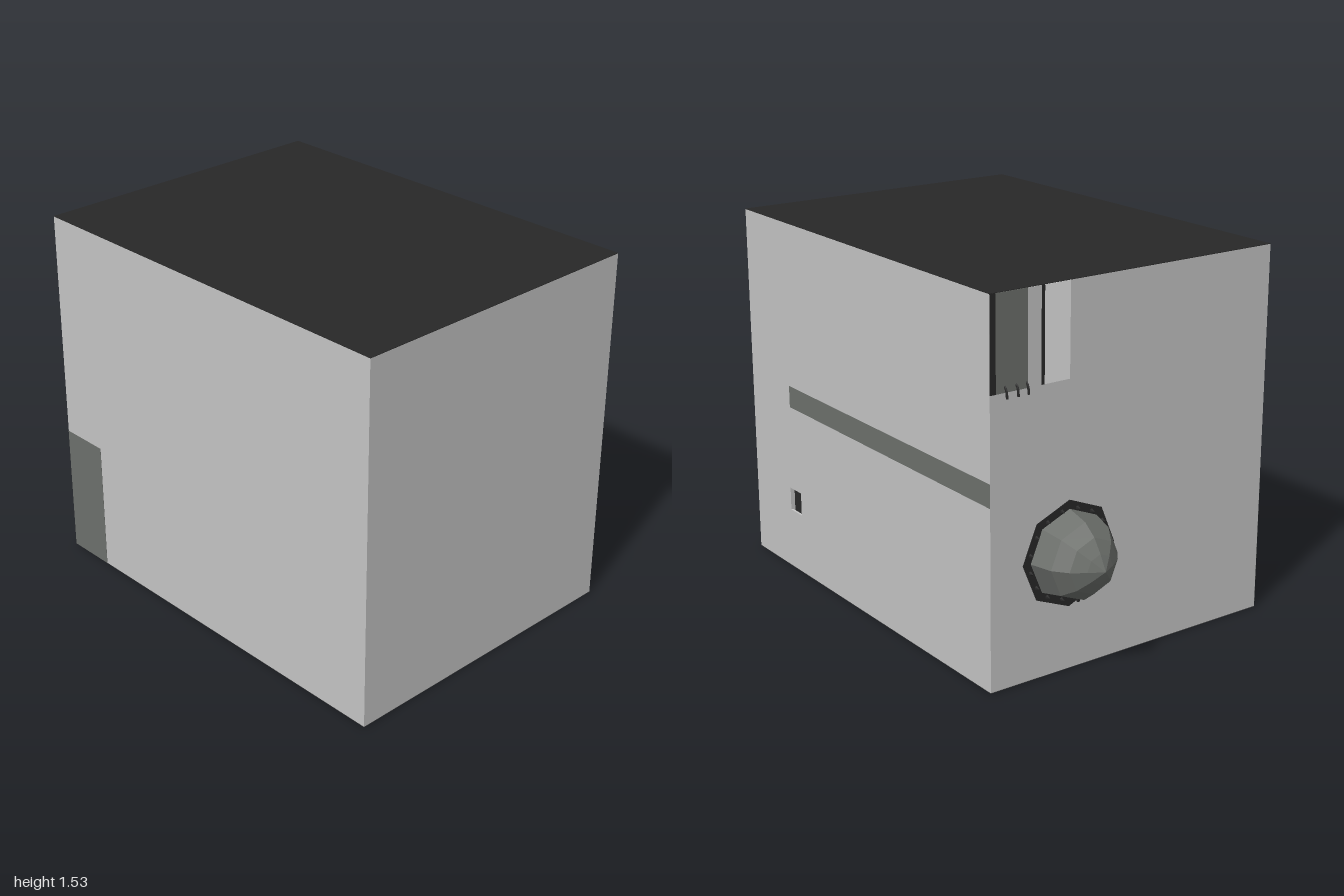
import * as THREE from 'three';

export function createModel() {
  const model = new THREE.Group();
  const material = (name, color) => {
    const m = new THREE.MeshStandardMaterial({ color, side: THREE.DoubleSide, flatShading: true });
    m.name = name;
    return m;
  };
  const wall = material('wall grey', 0xc4c4c4);
  const dark = material('roof charcoal', 0x282828);
  const base = material('floor grey', 0x575757);
  const metal = material('green grey', 0x6d706c);
  const pale = material('pale panel', 0xf4f4f4);

  const add = (name, geometry, mat, x = 0, y = 0, z = 0, parent = model) => {
    const mesh = new THREE.Mesh(geometry, mat);
    mesh.name = name;
    mesh.position.set(x, y, z);
    parent.add(mesh);
    return mesh;
  };
  // Box given by its minimum and maximum corners
  const block = (name, mat, [x0, y0, z0], [x1, y1, z1]) =>
    add(name, new THREE.BoxGeometry(x1 - x0, y1 - y0, z1 - z0), mat,
      (x0 + x1) / 2, (y0 + y1) / 2, (z0 + z1) / 2);

  const L = -0.78, R = 1, H = 1.53, D = 0.665, T = 0.01, E = 0.002;
  const polygon = (points) => new THREE.Shape(points.map(([x, y]) => new THREE.Vector2(x, y)));

  // Shell: floor, roof and plain walls
  block('floor', base, [L, 0, -D], [R, E, D]);
  block('roof', dark, [L, H - E, -D], [R, H, D]);
  block('frontWall', wall, [L, E, D - T], [R, H - E, D]);
  block('leftWall', wall, [R - T, E, -D + T], [R, H - E, D - T]);
  block('rightWall', wall, [L, E, -D + T], [L + T, H - E, D - T]);

  // Back wall with a small square hatch, and the two-tone panel behind it
  const back = polygon([[L, E], [R, E], [R, H - E], [L, H - E]]);
  back.holes.push(polygon([[0.615, 0.265], [0.615, 0.365], [0.705, 0.365], [0.705, 0.265]]));
  add('backWall', new THREE.ExtrudeGeometry(back, { depth: T, bevelEnabled: false }), wall, 0, 0, -D);
  block('hatchDarkSide', dark, [0.66, 0.18, -D + 0.06], [0.78, 0.45, -D + 0.07]);
  block('hatchMetalSide', metal, [0.54, 0.18, -D + 0.06], [0.66, 0.45, -D + 0.07]);

  // Painted panels
  block('frontPanel', metal, [L, E, D], [-0.56, 0.56, D + 0.001]);
  block('backStripe', metal, [L, 0.735, -D - 0.001], [0.68, 0.828, -D]);

  // Vertical strips on the right wall under the roof: [name, material, z start, z end]
  const strips = [
    ['edgeStrip', dark, -D, -0.64],
    ['wideStrip', metal, -0.64, -0.5],
    ['narrowStrip', wall, -0.5, -0.44],
    ['seamStrip', dark, -0.44, -0.425],
    ['palePanel', pale, -0.425, -0.31],
  ];
  for (const [name, mat, z0, z1] of strips) block(name, mat, [L - E, 1.16, z0], [L, H - E, z1]);

  // Small hooks hanging below the strips
  for (const z of [-0.6, -0.55, -0.505]) {
    const curve = new THREE.QuadraticBezierCurve3(
      new THREE.Vector3(L + 0.01, 1.185, z), new THREE.Vector3(L - 0.015, 1.185, z),
      new THREE.Vector3(L - 0.015, 1.14, z));
    add('hook', new THREE.TubeGeometry(curve, 6, 0.005, 5), dark);
  }

  // Faceted pointed dome on the right wall, axis along -x
  const dome = new THREE.Group();
  dome.name = 'dome';
  dome.position.set(L, 0.475, -0.305);
  dome.rotation.z = Math.PI / 2;
  model.add(dome);
  const profile = [[0.18, 0], [0.156, 0.095], [0.113, 0.15], [0.06, 0.187], [0, 0.22]]
    .map(([r, h]) => new THREE.Vector2(r, h));
  add('domeShell', new THREE.LatheGeometry(profile, 8), metal, 0, 0, 0, dome);

  // Dark flat collar on the wall, with short thorns around the dome base
  add('collar', new THREE.CylinderGeometry(0.215, 0.215, E, 8), dark, 0, E / 2, 0, dome);
  for (let i = 0; i < 16; i++) {
    const a = (i + 0.5) * Math.PI / 8;
    add('thorn', new THREE.ConeGeometry(0.009, 0.022, 5), dark,
      Math.cos(a) * 0.18, 0.011, Math.sin(a) * 0.185, dome);
  }
  // Thin spike under the dome
  block('lowerSpike', dark, [-0.843, 0.3, -0.31], [-0.835, 0.335, -0.3]);

  return model;
}
